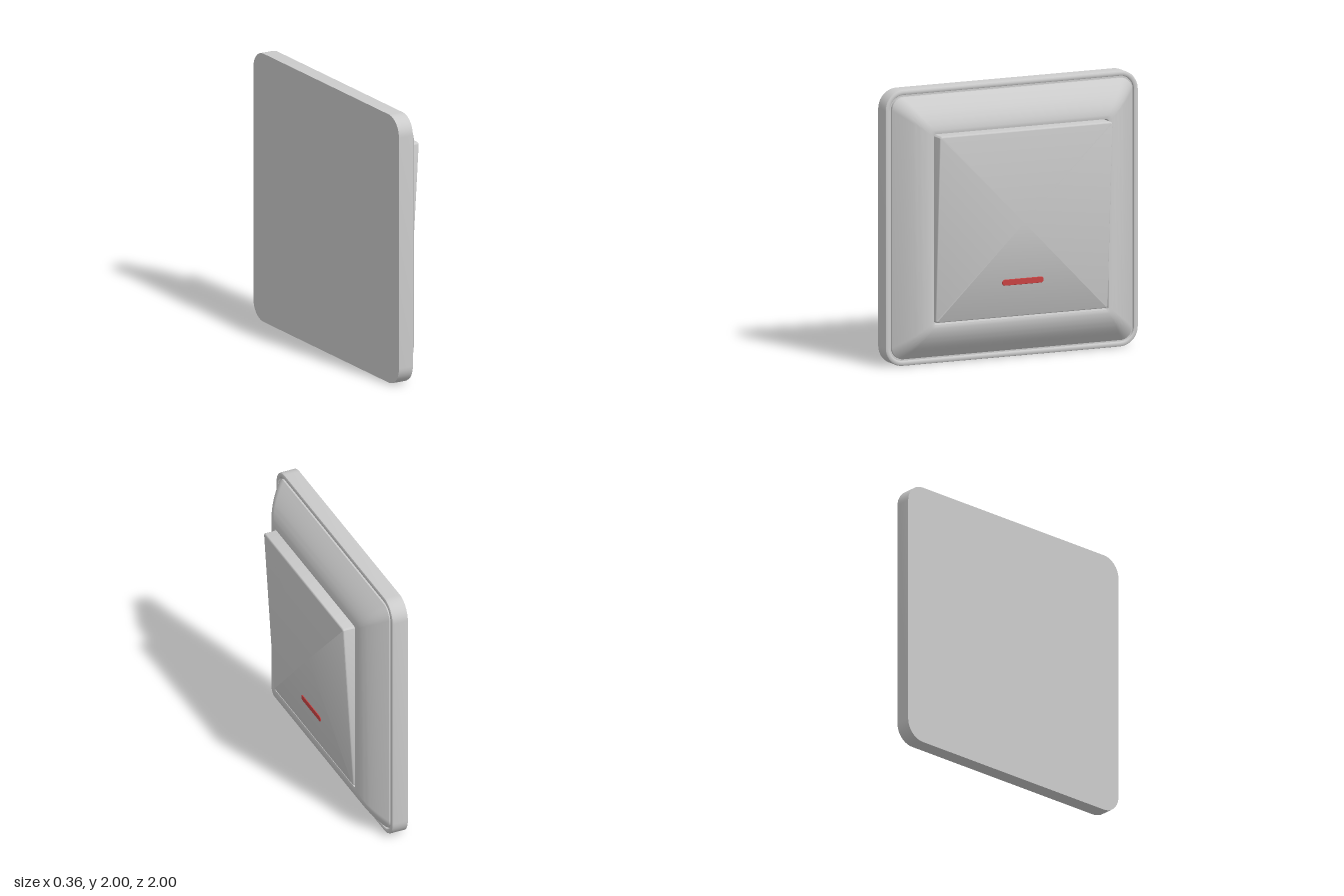
import * as THREE from 'three';
import { toCreasedNormals } from 'three/addons/utils/BufferGeometryUtils.js';

const CORNER = 10; // segments per rounded corner

// Outline of a rounded rectangle as [y, z] pairs, counter-clockwise seen from +x
function outline(halfY, halfZ, r) {
  const pts = [];
  for (let q = 0; q < 4; q++) {
    const sy = q === 0 || q === 3 ? 1 : -1;
    const sz = q < 2 ? 1 : -1;
    for (let i = 0; i <= CORNER; i++) {
      const a = (q + i / CORNER) * Math.PI / 2;
      pts.push([sy * (halfY - r) + r * Math.cos(a), sz * (halfZ - r) + r * Math.sin(a)]);
    }
  }
  return pts;
}

// Closed solid lofted along x through rings [x, halfY, halfZ, cornerRadius]
function loft(rings, crease = 0.6, place = (x, y, z) => [x, y, z]) {
  const pos = [], idx = [];
  const n = 4 * (CORNER + 1);
  for (const [x, hy, hz, r] of rings) {
    for (const [y, z] of outline(hy, hz, r)) pos.push(...place(x, y, z));
  }
  for (let i = 0; i < rings.length - 1; i++) {
    for (let j = 0; j < n; j++) {
      const k = (j + 1) % n;
      const a = i * n + j, b = i * n + k, c = a + n, d = b + n;
      idx.push(a, b, d, a, d, c);
    }
  }
  // End caps as fans
  const last = (rings.length - 1) * n;
  const c0 = pos.length / 3;
  pos.push(...place(rings[0][0], 0, 0), ...place(rings[rings.length - 1][0], 0, 0));
  for (let j = 0; j < n; j++) {
    const k = (j + 1) % n;
    idx.push(c0, k, j, c0 + 1, last + j, last + k);
  }
  const g = new THREE.BufferGeometry();
  g.setAttribute('position', new THREE.Float32BufferAttribute(pos, 3));
  g.setIndex(idx);
  return toCreasedNormals(g, crease);
}

export function createModel() {
  const model = new THREE.Group();
  const grey = new THREE.MeshStandardMaterial({ color: 0xcccccc });
  const red = new THREE.MeshStandardMaterial({ color: 0xcc4444 });

  const add = (name, geometry, material, y = 0) => {
    const mesh = new THREE.Mesh(geometry, material);
    mesh.name = name;
    mesh.position.y = y;
    model.add(mesh);
  };
  const square = (x, h, r) => [x, h, h, r];

  // Wall plate: rounded outer rim, thin groove around the raised frame
  add('wallPlate', loft([
    square(-0.183, 1, 0.14),
    square(-0.075, 1, 0.14),
    square(-0.065, 0.997, 0.137),
    square(-0.06, 0.988, 0.128),
    square(-0.06, 0.972, 0.112),
    square(-0.064, 0.966, 0.106),
    square(-0.08, 0.964, 0.104),
  ]), grey, 1);

  // Rim continues as a domed frame with a square recess for the rocker
  const dome = [square(-0.1, 0.95, 0.09), square(-0.06, 0.95, 0.09)];
  const curve = new THREE.CubicBezierCurve(
    new THREE.Vector2(-0.06, 0.95), new THREE.Vector2(0.01, 0.88),
    new THREE.Vector2(0.092, 0.79), new THREE.Vector2(0.092, 0.7));
  for (let i = 1; i <= 14; i++) {
    const t = i / 14;
    const p = curve.getPoint(t);
    dome.push(square(p.x, p.y, 0.09 - 0.065 * t));
  }
  dome.push(square(0.09, 0.692, 0.02), square(0.03, 0.69, 0.02));
  add('domedFrame', loft(dome), grey, 1);

  // Rocker: wedge whose front leans outward toward the top
  const lean = (y) => 0.141 + 0.0588 * y;
  const rocker = [square(0, 0.682, 0.02)];
  for (let i = 0; i <= 4; i++) {
    const a = i / 4 * Math.PI / 2;
    const inset = 0.012 * (1 - Math.cos(a));
    rocker.push(square(0.988 + 0.012 * Math.sin(a), 0.682 - inset, 0.02 - inset));
  }
  // x = 0 is the hidden back; x near 1 follows the leaning front face
  add('rocker', loft(rocker, 0.6, (x, y, z) =>
    [x === 0 ? 0.02 : lean(y) + x - 1, y, z]), grey, 1.005);

  // Indicator bar lying on the leaning face
  const barY = 0.577;
  add('indicator', loft([
    [-0.01, 0.022, 0.163, 0.02],
    [0.004, 0.022, 0.163, 0.02],
    [0.006, 0.02, 0.161, 0.018],
  ], 0.6, (x, y, z) => [lean(y + barY - 1.005) + x, y, z]), red, barY);

  return model;
}
